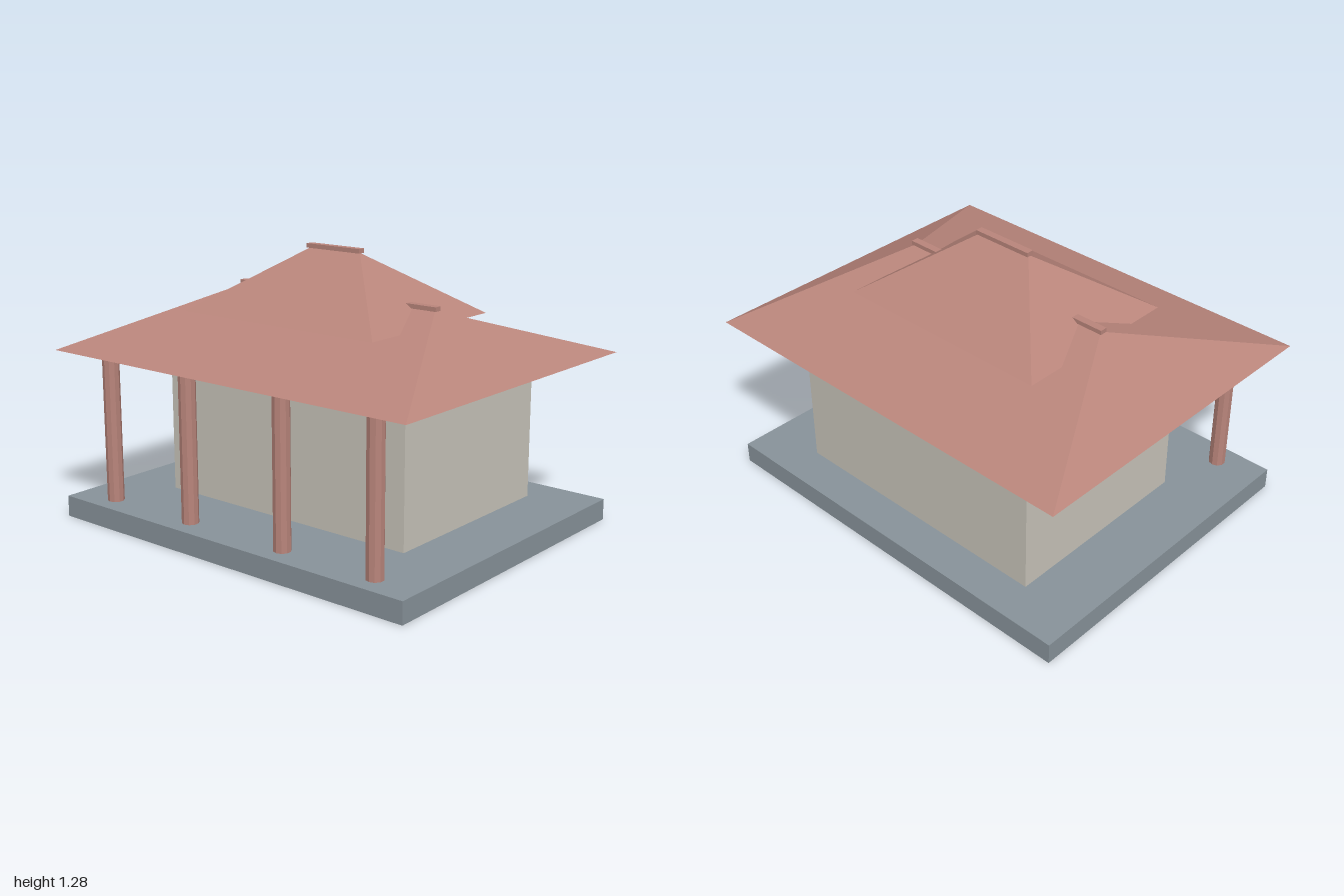
import * as THREE from 'three';

const flat = (name, color) => {
  const m = new THREE.MeshStandardMaterial({ color });
  m.name = name;
  return m;
};

// Closed hip roof: rectangular eaves rising to a ridge along x
function hipRoofGeometry(halfX, halfZ, halfRidge, height) {
  const a = [-halfX, 0, halfZ], b = [halfX, 0, halfZ];
  const c = [halfX, 0, -halfZ], d = [-halfX, 0, -halfZ];
  const l = [-halfRidge, height, 0], r = [halfRidge, height, 0];
  const faces = [
    [a, b, r], [a, r, l], // front slope
    [c, d, l], [c, l, r], // back slope
    [b, c, r], [d, a, l], // hip ends
    [a, d, c], [a, c, b], // soffit
  ];
  const geo = new THREE.BufferGeometry();
  geo.setAttribute('position', new THREE.Float32BufferAttribute(faces.flat(2), 3));
  geo.computeVertexNormals();
  return geo;
}

export function createModel() {
  const group = new THREE.Group();
  group.name = 'pavilion';
  const stone = flat('blueGreyStone', 0x88939a);
  const plaster = flat('palePlaster', 0xc8c4ba);
  const tile = flat('terracotta', 0xb9857b);

  const add = (name, geo, mat, x, y, z) => {
    const mesh = new THREE.Mesh(geo, mat);
    mesh.name = name;
    mesh.position.set(x, y, z);
    group.add(mesh);
    return mesh;
  };

  // Platform and hall, set back to leave a front porch
  add('platform', new THREE.BoxGeometry(1.964, 0.1, 1.564), stone, 0, 0.05, 0);
  add('hallWalls', new THREE.BoxGeometry(1.364, 0.7, 0.97), plaster, 0, 0.45, -0.11);

  // Row of porch columns
  const columnGeo = new THREE.CylinderGeometry(0.039, 0.039, 0.69, 10).toNonIndexed();
  columnGeo.computeVertexNormals();
  [-0.765, -0.273, 0.273, 0.765].forEach((x, i) =>
    add('porchColumn' + (i + 1), columnGeo, tile, x, 0.445, 0.675));

  // Two stacked hip roofs, each with a ridge cap
  add('lowerRoof', hipRoofGeometry(1, 0.8, 0.555, 0.255), tile, 0, 0.802, 0);
  add('lowerRidgeCap', new THREE.BoxGeometry(1.14, 0.02, 0.036), tile, 0, 1.065, 0);
  add('upperRoof', hipRoofGeometry(0.54, 0.415, 0.142, 0.282), tile, 0, 0.984, 0);
  add('upperRidgeCap', new THREE.BoxGeometry(0.304, 0.02, 0.036), tile, 0, 1.275, 0);

  return group;
}
